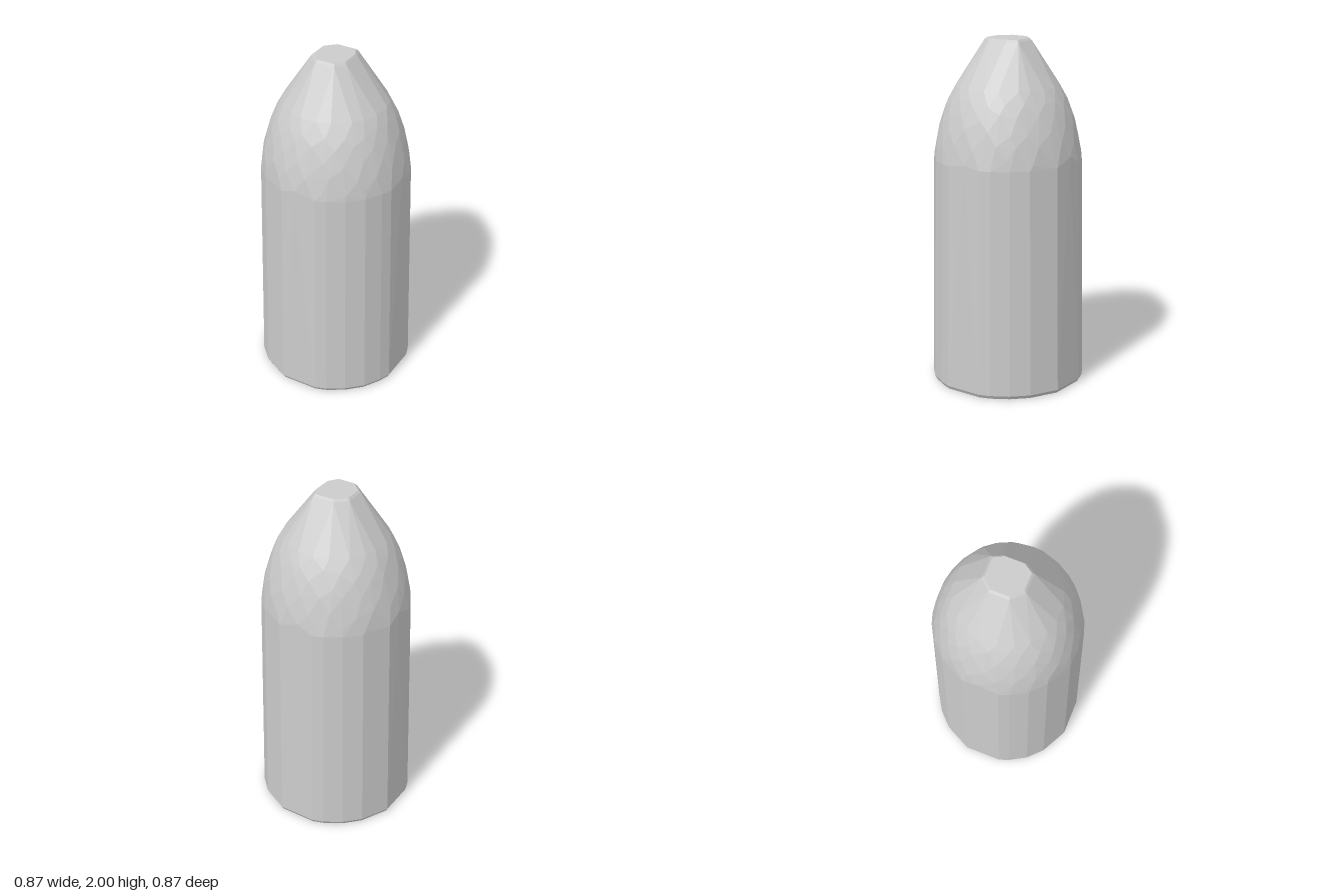
import * as THREE from 'three';
import { ConvexGeometry } from 'three/addons/geometries/ConvexGeometry.js';

// Small seeded generator for the uneven facets of the nose, range -0.5..0.5
function seeded(seed) {
  return () => {
    seed = (seed * 16807) % 2147483647;
    return seed / 2147483647 - 0.5;
  };
}

// Many-sided footprint of the body, as x, z corners
const footprint = [
  [-0.11, -0.435], [0.11, -0.435], [0.27, -0.355], [0.355, -0.27], [0.413, -0.175],
  [0.435, -0.11], [0.435, 0.11], [0.41, 0.175], [0.355, 0.27], [0.27, 0.352],
  [0.175, 0.41], [0.11, 0.433], [-0.11, 0.433], [-0.27, 0.352], [-0.355, 0.27],
  [-0.413, 0.17], [-0.435, 0.11], [-0.435, -0.11], [-0.355, -0.27], [-0.27, -0.355],
  [-0.175, -0.413],
];

// Flat tip, an uneven octagon as x, z corners
const tip = [
  [-0.06, -0.122], [0.07, -0.122], [0.1, -0.06], [0.1, 0.06],
  [0.06, 0.12], [-0.055, 0.12], [-0.122, 0.055], [-0.122, -0.06],
];

// Radius of the curved nose by height
const noseProfile = [[1.36, 0.419], [1.44, 0.408], [1.52, 0.388], [1.6, 0.363], [1.67, 0.333], [1.735, 0.297]];
function noseRadius(y) {
  for (let i = 1; i < noseProfile.length; i++) {
    const [y0, r0] = noseProfile[i - 1], [y1, r1] = noseProfile[i];
    if (y <= y1 || i === noseProfile.length - 1) return r0 + ((r1 - r0) * (y - y0)) / (y1 - y0);
  }
}

export function createModel() {
  const group = new THREE.Group();
  group.name = 'bullet';
  const random = seeded(71);
  const points = [];
  const addRing = (corners, y, scale) => {
    for (const [x, z] of corners) points.push(new THREE.Vector3(x * scale, y, z * scale));
  };

  // Tapering body with a small bevel at the foot
  addRing(footprint, 0, 0.975);
  addRing(footprint, 0.02, 1);
  addRing(footprint, 1.32, 0.953);

  // Curved nose of staggered, slightly uneven facets
  noseProfile.forEach(([height], ring) => {
    const last = ring === noseProfile.length - 1;
    const count = 20;
    for (let i = 0; i < count; i++) {
      const y = height + (last ? 0 : random() * 0.04);
      const angle = ((i + (ring % 2) / 2 + random() * 0.35) / count) * Math.PI * 2;
      const r = noseRadius(y);
      points.push(new THREE.Vector3(Math.cos(angle) * r, y, Math.sin(angle) * r));
    }
  });

  // Straight cone up to the flat tip, with a thin bevel
  addRing(tip, 1.988, 1);
  addRing(tip, 2, 0.9);

  const material = new THREE.MeshStandardMaterial({ color: 0xcccccc, flatShading: true });
  const shell = new THREE.Mesh(new ConvexGeometry(points), material);
  shell.name = 'facetedShell';
  group.add(shell);
  return group;
}
